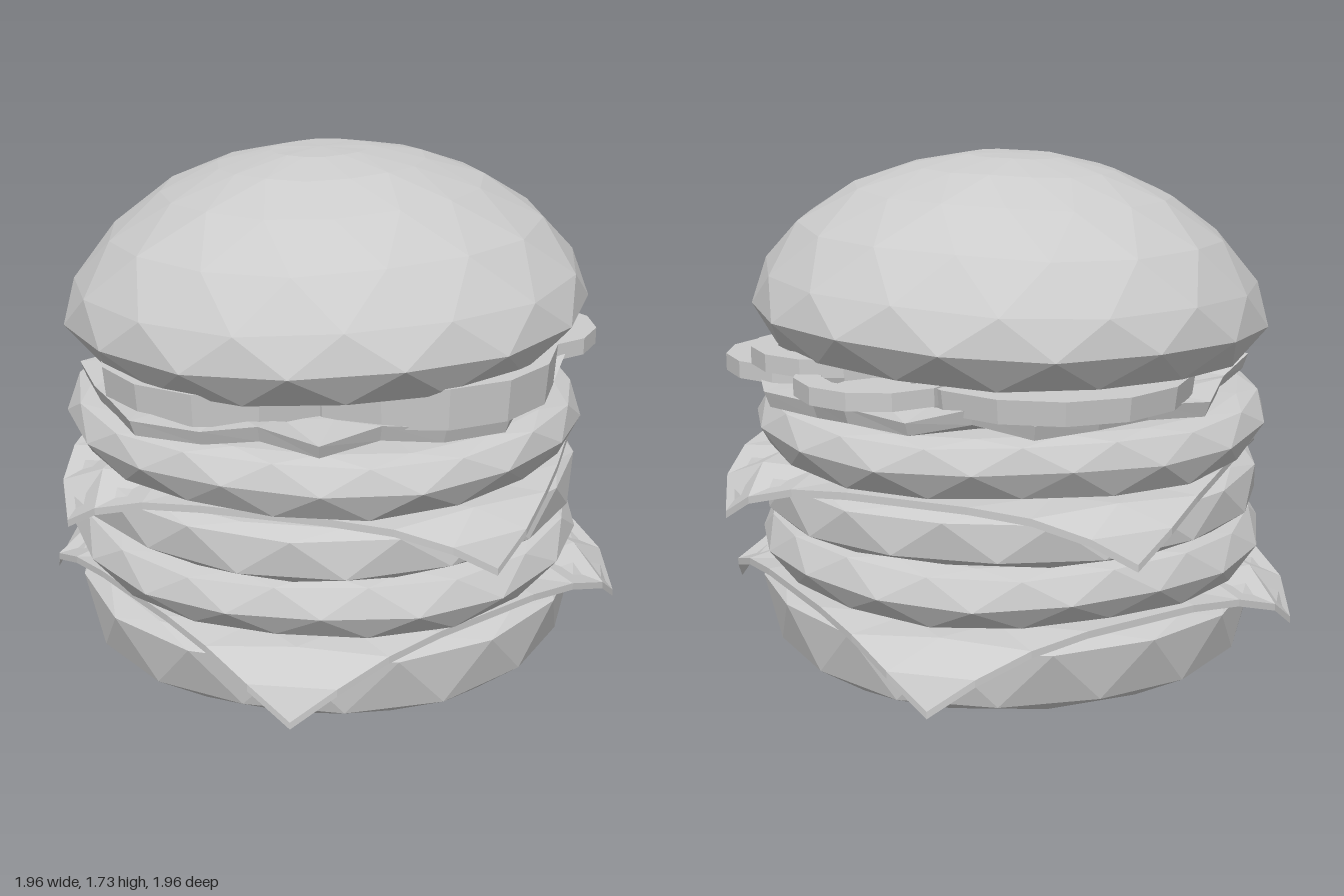
import * as THREE from 'three';

const material = new THREE.MeshStandardMaterial({ color: 0xcccccc, flatShading: true, side: THREE.DoubleSide });

function add(group, name, geometry) {
  const mesh = new THREE.Mesh(geometry, material);
  mesh.name = name;
  group.add(mesh);
  return mesh;
}

// Move every vertex by a rule
function deform(geometry, rule) {
  const p = geometry.attributes.position;
  const v = new THREE.Vector3();
  for (let i = 0; i < p.count; i++) {
    v.fromBufferAttribute(p, i);
    rule(v, i);
    p.setXYZ(i, v.x, v.y, v.z);
  }
  geometry.computeVertexNormals();
  return geometry;
}

// Turned body from [radius, height] points, bottom to top
function lathe(profile, sides) {
  return new THREE.LatheGeometry(profile.map(([r, y]) => new THREE.Vector2(r, y)), sides);
}

// Round hand-shaped layer; each row turns half a step, giving even triangles
function layer(profile, sides, wobble, seed) {
  return deform(lathe(profile, sides), (v, i) => {
    const row = i % profile.length;
    const r = Math.hypot(v.x, v.z);
    const a = Math.atan2(v.z, v.x) - row * Math.PI / sides;
    const radius = r * (1 + wobble * Math.sin(3 * a + seed + v.y * 9));
    if (v.y > 0.02) v.y += wobble * r * Math.sin(5 * a + seed * 2 + v.y * 4);
    v.x = radius * Math.cos(a);
    v.z = radius * Math.sin(a) + 0.03;
  });
}

// Square slice whose overhanging corners reach out, then hang down
function cheese(size, angle, top, bend, out, drop) {
  const geometry = new THREE.BoxGeometry(size, 0.025, size, 8, 1, 8);
  geometry.rotateY(angle);
  const overhang = size * Math.SQRT1_2 - bend;
  return deform(geometry, (v) => {
    const r = Math.hypot(v.x, v.z);
    const t = Math.max(0, r - bend) / overhang;
    const k = r > 0 ? (Math.min(r, bend) + out * Math.sin(t * Math.PI / 2)) / r : 1;
    v.x *= k;
    v.z *= k;
    v.y += top - drop * Math.pow(t, 1.3);
  });
}

// Onion ring with an open centre, lying flat
function ring(outer, inner, height) {
  const shape = new THREE.Shape().absarc(0, 0, outer, 0, Math.PI * 2);
  shape.holes.push(new THREE.Path().absarc(0, 0, inner, 0, Math.PI * 2, true));
  const geometry = new THREE.ExtrudeGeometry(shape, { depth: height, bevelEnabled: false, curveSegments: 6 });
  return geometry.rotateX(-Math.PI / 2);
}

// Ragged leaf sheet with an uneven edge
function lettuce() {
  const profile = [[0, 0.925], [0.7, 0.925], [0.88, 0.93], [0.9, 0.985], [0.7, 0.985], [0, 0.985]];
  return deform(lathe(profile, 26), (v) => {
    const r = Math.hypot(v.x, v.z);
    if (r < 0.75) return;
    const a = Math.atan2(v.z, v.x);
    const k = 0.96 + 0.05 * Math.sin(9 * a) + 0.03 * Math.sin(4 * a + 1);
    v.x *= k * 0.94;
    v.z = v.z * k * 1.02 + 0.02;
    v.y = Math.max(0.92, v.y + 0.02 * Math.sin(11 * a + 2));
  });
}

export function createModel() {
  const group = new THREE.Group();
  group.name = 'doubleBurger';

  // Bread and meat, stacked from the bottom
  add(group, 'bottomBun', layer(
    [[0, 0], [0.81, 0], [0.865, 0.035], [0.9, 0.225], [0.84, 0.26], [0, 0.26]], 16, 0.008, 1));
  add(group, 'lowerPatty', layer(
    [[0, 0.3], [0.85, 0.3], [0.91, 0.385], [0.87, 0.475], [0.8, 0.495], [0, 0.495]], 18, 0.011, 4));
  add(group, 'middleBun', layer(
    [[0, 0.5], [0.84, 0.5], [0.89, 0.53], [0.89, 0.655], [0.84, 0.685], [0, 0.685]], 16, 0.006, 2));
  add(group, 'upperPatty', layer(
    [[0, 0.72], [0.86, 0.725], [0.915, 0.82], [0.88, 0.9], [0.82, 0.92], [0, 0.92]], 18, 0.01, 5.5));

  // Cheese slices
  add(group, 'lowerCheese', cheese(1.7, -0.19, 0.28, 0.88, 0.17, 0.19)).position.z = 0.01;
  add(group, 'upperCheese', cheese(1.69, 0.46, 0.705, 0.89, 0.14, 0.16));

  // Salad
  add(group, 'lettuce', lettuce());
  const tomatoes = [[0.42, 0.06, 0.98, 0.14], [-0.05, 0.42, 0.975, 0.11], [-0.4, -0.15, 0.975, 0.08]];
  for (const [x, z, y, h] of tomatoes) {
    const slice = add(group, 'tomatoSlice', new THREE.CylinderGeometry(0.48, 0.47, h, 14));
    slice.position.set(x, y + h / 2, z);
  }
  const rings = [[0.2, -0.6, 1.05], [-0.1, -0.64, 1.0], [0.42, -0.56, 0.985]];
  for (const [x, z, y] of rings) {
    add(group, 'onionRing', ring(0.28, 0.19, 0.06)).position.set(x, y, z);
  }

  // Domed top bun, leaning slightly
  const topBun = add(group, 'topBun', layer(
    [[0, 1.09], [0.6, 1.085], [0.83, 1.08], [0.915, 1.195], [0.875, 1.32], [0.75, 1.475],
      [0.56, 1.605], [0.36, 1.685], [0.17, 1.725], [0, 1.73]], 16, 0.008, 3));
  topBun.geometry.translate(0, -1.2, 0);
  topBun.position.y = 1.2;
  topBun.rotation.set(0.022, 0, 0.03);

  return group;
}
